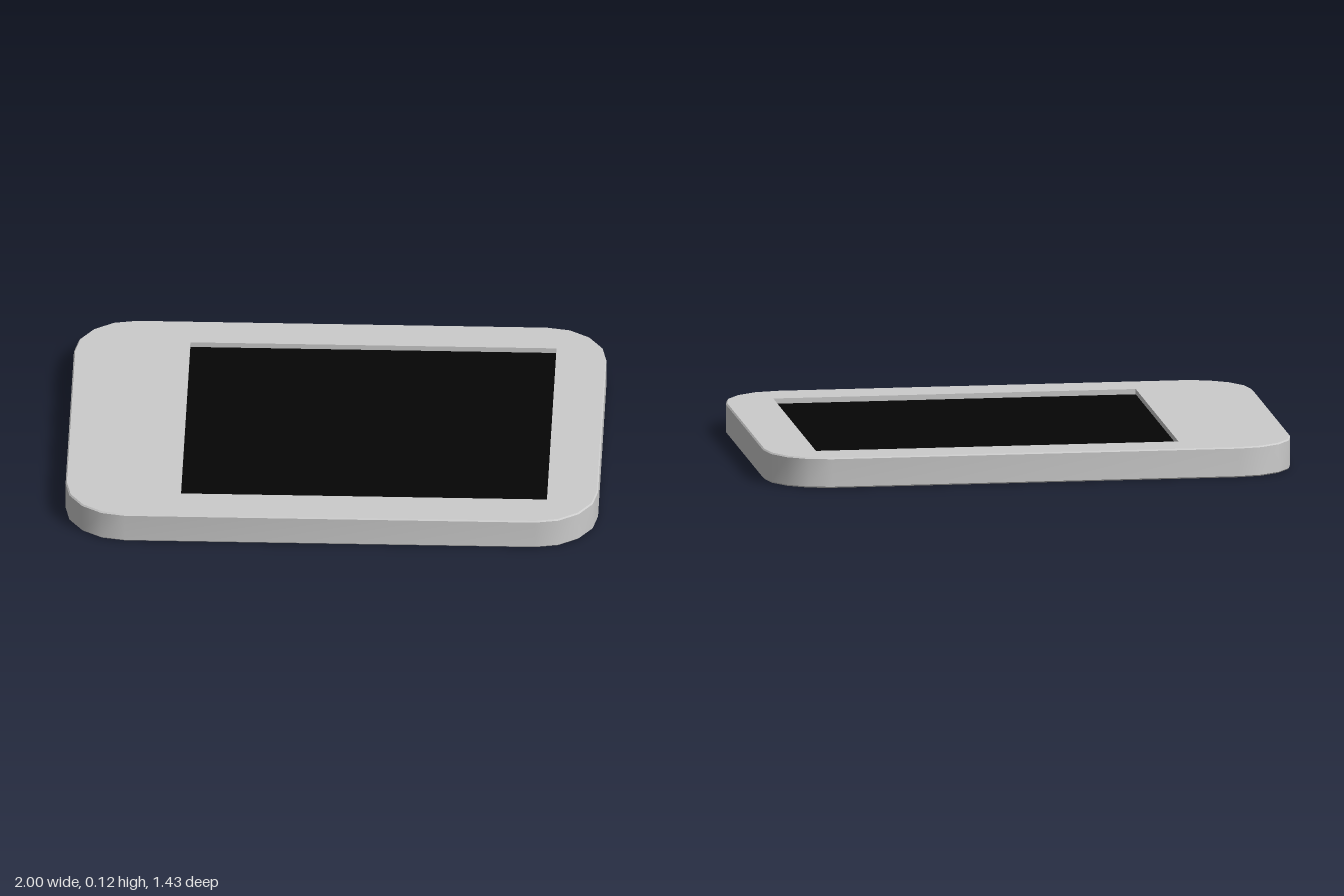
import * as THREE from 'three';
import { mergeGeometries, toCreasedNormals } from 'three/addons/utils/BufferGeometryUtils.js';

const HALF_X = 1, HALF_Z = 0.713, HEIGHT = 0.115, RADIUS = 0.23, BEVEL = 0.005;
const CORNER_STEPS = 4, RECESS = 0.02;
const WINDOW = { x0: -0.565, x1: 0.81, z0: -0.557, z1: 0.55 };

// Rounded rectangle outline, counter-clockwise in shape space (y = -z)
function outline(inset) {
  const r = RADIUS - inset, points = [];
  const corners = [[1, 1], [-1, 1], [-1, -1], [1, -1]];
  corners.forEach(([sx, sy], c) => {
    for (let i = 0; i <= CORNER_STEPS; i++) {
      const a = (c + i / CORNER_STEPS) * Math.PI / 2;
      points.push(new THREE.Vector2(
        sx * (HALF_X - RADIUS) + r * Math.cos(a),
        sy * (HALF_Z - RADIUS) + r * Math.sin(a)));
    }
  });
  return points;
}

// Closed wall through loops given as [outline points, height], bottom to top
function wall(loops) {
  const n = loops[0][0].length, position = [], index = [];
  for (const [points, y] of loops) for (const p of points) position.push(p.x, y, -p.y);
  for (let k = 0; k < loops.length - 1; k++) {
    for (let i = 0; i < n; i++) {
      const a = k * n + i, b = k * n + (i + 1) % n;
      index.push(a, b, b + n, a, b + n, a + n);
    }
  }
  const g = new THREE.BufferGeometry();
  g.setAttribute('position', new THREE.Float32BufferAttribute(position, 3));
  g.setIndex(index);
  return toCreasedNormals(g, 0.6);
}

// Flat face lying at height y, facing up or down
function face(shape, y, up) {
  const g = new THREE.ShapeGeometry(shape).toNonIndexed();
  g.deleteAttribute('uv');
  g.rotateX(-Math.PI / 2);
  if (!up) {
    const p = g.attributes.position;
    for (let i = 0; i < p.count; i++) p.setZ(i, -p.getZ(i));
    g.computeVertexNormals();
  }
  return g.translate(0, y, 0);
}

export function createModel() {
  const model = new THREE.Group();
  model.name = 'tablet';
  const grey = new THREE.MeshStandardMaterial({ color: 0xcccccc });
  const black = new THREE.MeshStandardMaterial({ color: 0x050505 });

  const { x0, x1, z0, z1 } = WINDOW;
  const windowLoop = [[x0, -z1], [x1, -z1], [x1, -z0], [x0, -z0]].map(([x, y]) => new THREE.Vector2(x, y));
  const inner = outline(BEVEL), outer = outline(0);

  // Casing: rounded sides with fine bevels, closed back, front frame and recess walls
  const frontShape = new THREE.Shape(inner);
  frontShape.holes.push(new THREE.Path([...windowLoop].reverse()));
  const casing = new THREE.Mesh(mergeGeometries([
    wall([[inner, 0], [outer, BEVEL], [outer, HEIGHT - BEVEL], [inner, HEIGHT]]),
    face(new THREE.Shape(inner), 0, false),
    face(frontShape, HEIGHT, true),
    wall([[[...windowLoop].reverse(), HEIGHT - RECESS], [[...windowLoop].reverse(), HEIGHT]]),
  ]), grey);
  casing.name = 'casing';
  model.add(casing);

  // Screen: dark panel sunk into the frame
  const screen = new THREE.Mesh(face(new THREE.Shape(windowLoop), HEIGHT - RECESS, true), black);
  screen.name = 'screen';
  model.add(screen);

  return model;
}
